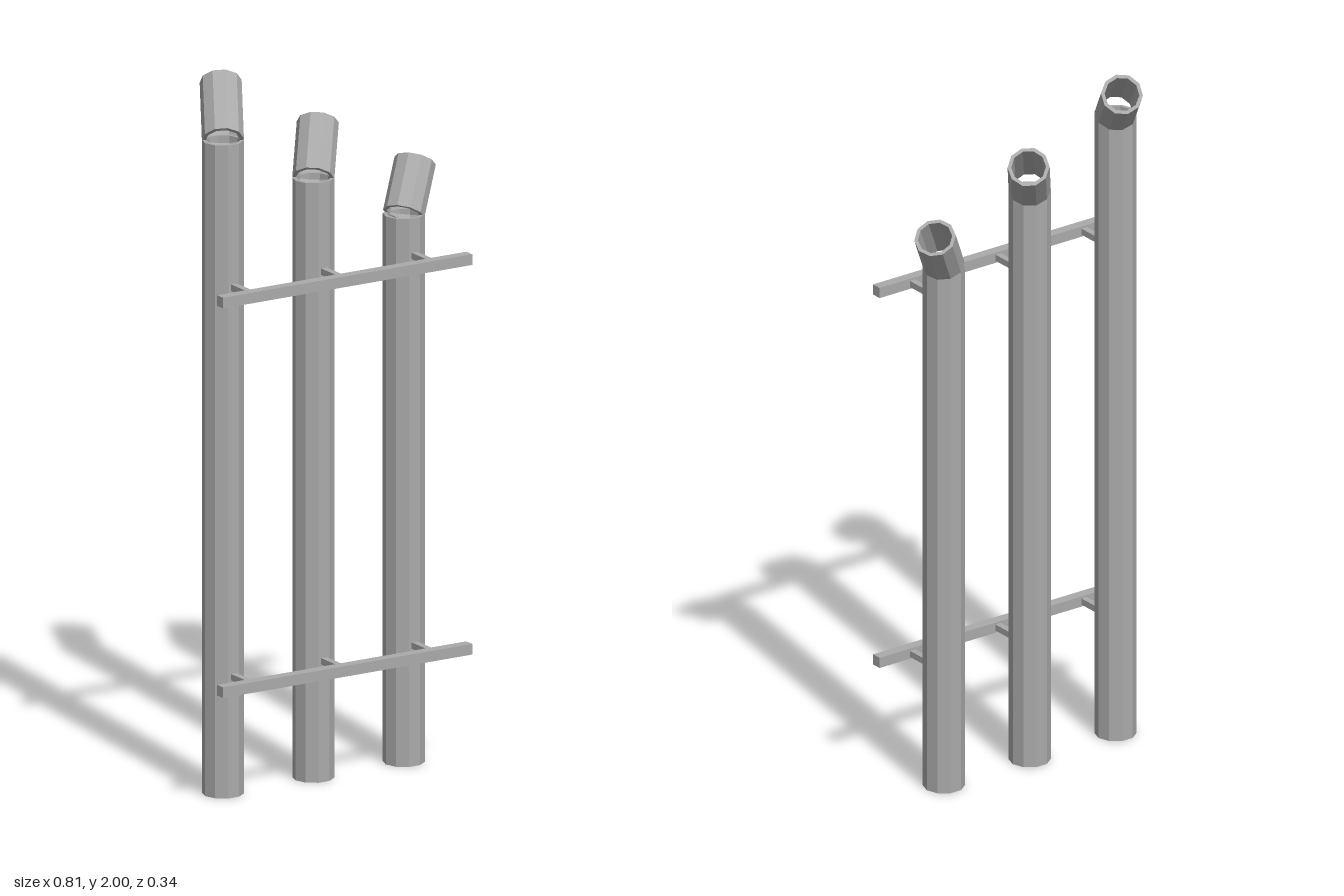
import * as THREE from 'three';

const OUTER = 0.057, INNER = 0.047, SIDES = 10;

// Open, thick-walled ten-sided tube standing on its local origin
function tubeGeometry(length) {
  const profile = [[OUTER, 0], [OUTER, length], [INNER, length], [INNER, 0], [OUTER, 0]]
    .map(([r, y]) => new THREE.Vector2(r, y));
  return new THREE.LatheGeometry(profile, SIDES, Math.PI / SIDES);
}

export function createModel() {
  const model = new THREE.Group();
  const steel = new THREE.MeshStandardMaterial({ color: 0xaaaaaa, flatShading: true });
  steel.name = 'grey steel';

  const add = (parent, name, geometry, x, y, z) => {
    const mesh = new THREE.Mesh(geometry, steel);
    mesh.name = name;
    mesh.position.set(x, y, z);
    parent.add(mesh);
    return mesh;
  };

  // Stepped pipes, each with an outlet leaning back and to the side
  const pipes = [
    { x: -0.297, height: 1.835, back: 0.13 },
    { x: -0.008, height: 1.685, back: 0.096 },
    { x: 0.281, height: 1.54, back: 0.061 },
  ];
  const up = new THREE.Vector3(0, 1, 0);
  for (const { x, height, back } of pipes) {
    const pipe = new THREE.Group();
    pipe.name = 'exhaustPipe';
    pipe.position.set(x, 0, -0.002);
    model.add(pipe);
    add(pipe, 'uprightTube', tubeGeometry(height), 0, 0, 0);
    const lean = new THREE.Vector3(0.075, 0.122, -back);
    const outlet = add(pipe, 'angledOutlet', tubeGeometry(lean.length()), 0, height, 0);
    outlet.quaternion.setFromUnitVectors(up, lean.clone().normalize());
  }

  // Two mounting rails with a short bracket to every pipe
  for (const y of [0.34, 1.435]) {
    const rail = new THREE.Group();
    rail.name = 'mountingRail';
    rail.position.y = y;
    model.add(rail);
    add(rail, 'railBar', new THREE.BoxGeometry(0.797, 0.03, 0.03), -0.007, 0, 0.155);
    for (const { x } of pipes) {
      add(rail, 'bracket', new THREE.BoxGeometry(0.018, 0.018, 0.095), x, 0, 0.0965);
    }
  }
  return model;
}
